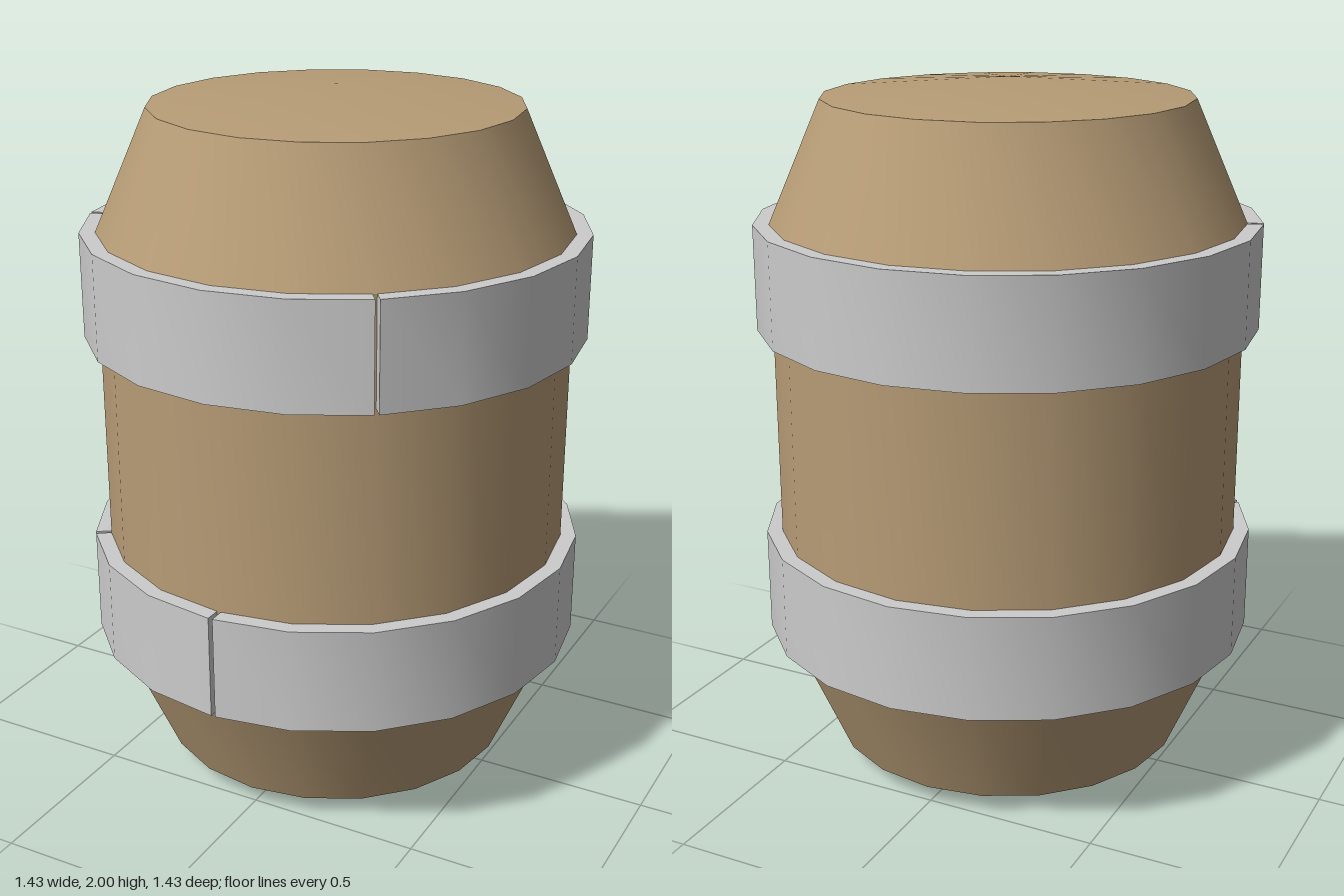
import * as THREE from 'three';
import { toCreasedNormals } from 'three/addons/utils/BufferGeometryUtils.js';

const SIDES = 20;
const STEP = 360 / SIDES;
const BODY_R = 0.67, HOOP_R = 0.715, HOOP_H = 0.3;
const CREASE = THREE.MathUtils.degToRad(20);

// Point on a circle; angle in degrees from the front (+z) towards +x
const polar = (r, deg) => {
  const a = THREE.MathUtils.degToRad(deg);
  return new THREE.Vector2(r * Math.sin(a), -r * Math.cos(a));
};

// One curved band between two slits, which lie on facet corners
function hoopSection(from, to, material) {
  const gap = 0.5;
  const angles = [from + gap];
  for (let a = from + STEP; a < to - 1; a += STEP) angles.push(a);
  angles.push(to - gap);
  const shape = new THREE.Shape([
    ...angles.map((a) => polar(HOOP_R, a)),
    ...angles.slice().reverse().map((a) => polar(BODY_R, a)),
  ]);
  const geometry = new THREE.ExtrudeGeometry(shape, { depth: HOOP_H, bevelEnabled: false });
  geometry.rotateX(-Math.PI / 2);
  return new THREE.Mesh(toCreasedNormals(geometry, CREASE), material);
}

// A hoop made of two sections separated by narrow slits
function hoop(name, y, slitA, slitB, material) {
  const group = new THREE.Group();
  group.name = name;
  const short = hoopSection(slitA, slitB, material);
  short.name = name + 'ShortSection';
  const long = hoopSection(slitB, slitA + 360, material);
  long.name = name + 'LongSection';
  group.add(short, long);
  group.position.y = y;
  return group;
}

export function createModel() {
  const model = new THREE.Group();
  model.name = 'barrel';
  const wood = new THREE.MeshStandardMaterial({ color: 0xb79c76 });
  const metal = new THREE.MeshStandardMaterial({ color: 0xcccccc });

  // Barrel body: shallow conical ends, tapered shoulders, straight middle
  const profile = [
    [0, 0], [0.52, 0.055], [BODY_R, 0.4], [BODY_R, 1.61], [0.52, 1.95], [0, 2],
  ].map(([r, y]) => new THREE.Vector2(r, y));
  const body = new THREE.Mesh(
    toCreasedNormals(new THREE.LatheGeometry(profile, SIDES), CREASE), wood);
  body.name = 'barrelBody';
  model.add(body);

  // Two split hoops
  model.add(hoop('lowerHoop', 0.4, -54, 0, metal));
  model.add(hoop('upperHoop', 1.31, -72, 36, metal));
  return model;
}
